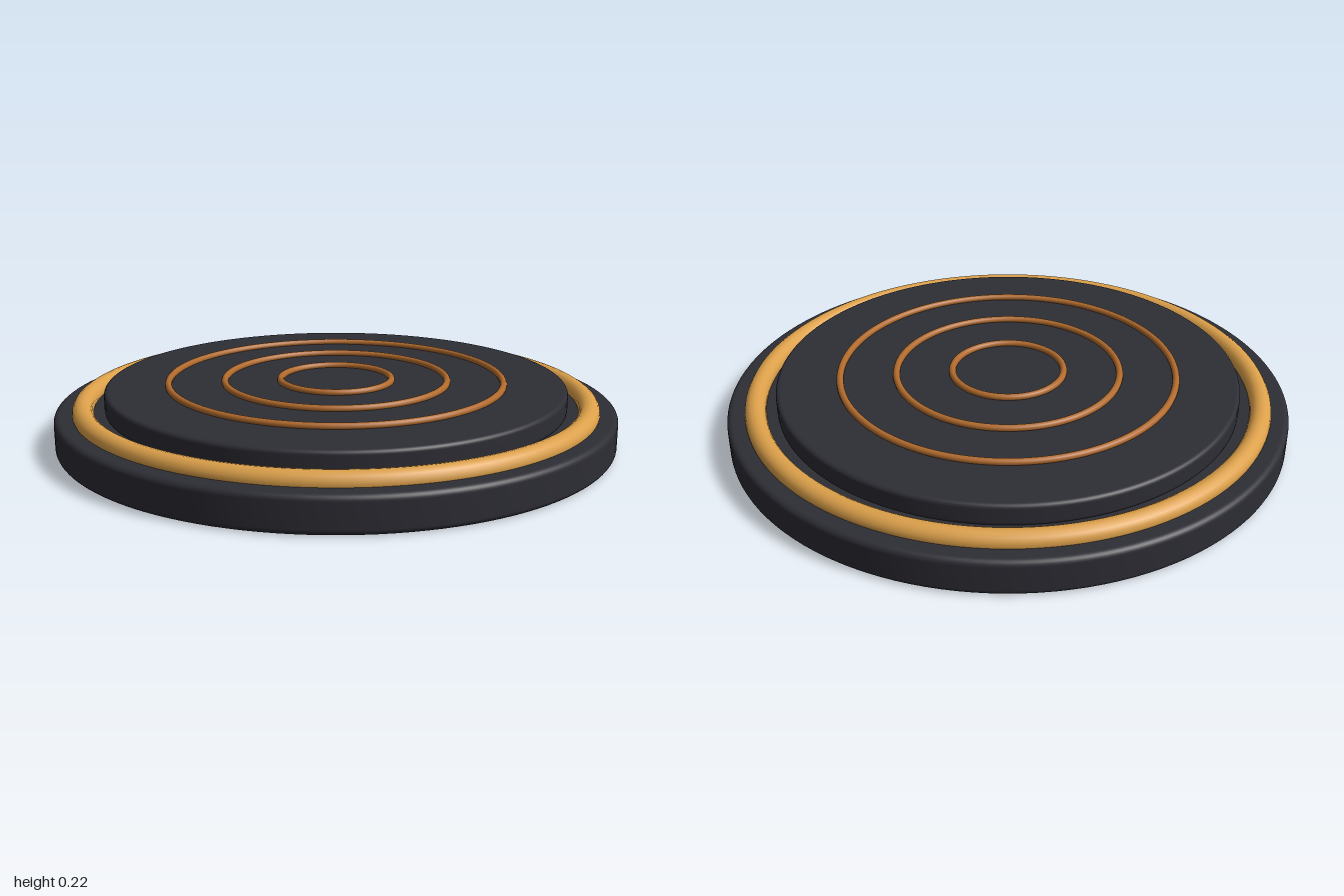
import * as THREE from 'three';

const material = (name, color) => {
  const m = new THREE.MeshStandardMaterial({ color });
  m.name = name;
  return m;
};

// Closed disc with softly rounded rims; flat faces keep their own normals
function roundedDisc(radius, bottom, top, bevel) {
  const pts = [new THREE.Vector2(0, bottom), new THREE.Vector2(radius - bevel - 0.001, bottom)];
  const steps = 6;
  const arc = (cy, from) => {
    for (let i = 0; i <= steps; i++) {
      const a = from + (i / steps) * Math.PI / 2;
      pts.push(new THREE.Vector2(radius - bevel + bevel * Math.cos(a), cy + bevel * Math.sin(a)));
    }
  };
  arc(bottom + bevel, -Math.PI / 2);
  arc(top - bevel, 0);
  pts.push(new THREE.Vector2(radius - bevel - 0.001, top), new THREE.Vector2(0, top));
  return new THREE.LatheGeometry(pts, 128);
}

export function createModel() {
  const group = new THREE.Group();
  group.name = 'platform';
  const dark = material('charcoal', 0x2d2d35);
  const gold = material('gold', 0xdca04a);
  const copper = material('copper', 0xb06a2c);

  const add = (name, geometry, mat) => {
    const mesh = new THREE.Mesh(geometry, mat);
    mesh.name = name;
    group.add(mesh);
  };
  const ring = (radius, tube, y) =>
    new THREE.TorusGeometry(radius, tube, 16, 128).rotateX(-Math.PI / 2).translate(0, y, 0);

  // Stepped discs
  add('base', roundedDisc(1, 0, 0.125, 0.02), dark);
  add('topPlate', roundedDisc(0.825, 0.12, 0.199, 0.015), dark);

  // Trim around the step
  add('rimRing', ring(0.9, 0.0375, 0.13), gold);

  // Concentric inlays
  [0.2, 0.4, 0.6].forEach((r, i) => add(`inlayRing${i + 1}`, ring(r, 0.0125, 0.205), copper));

  return group;
}
